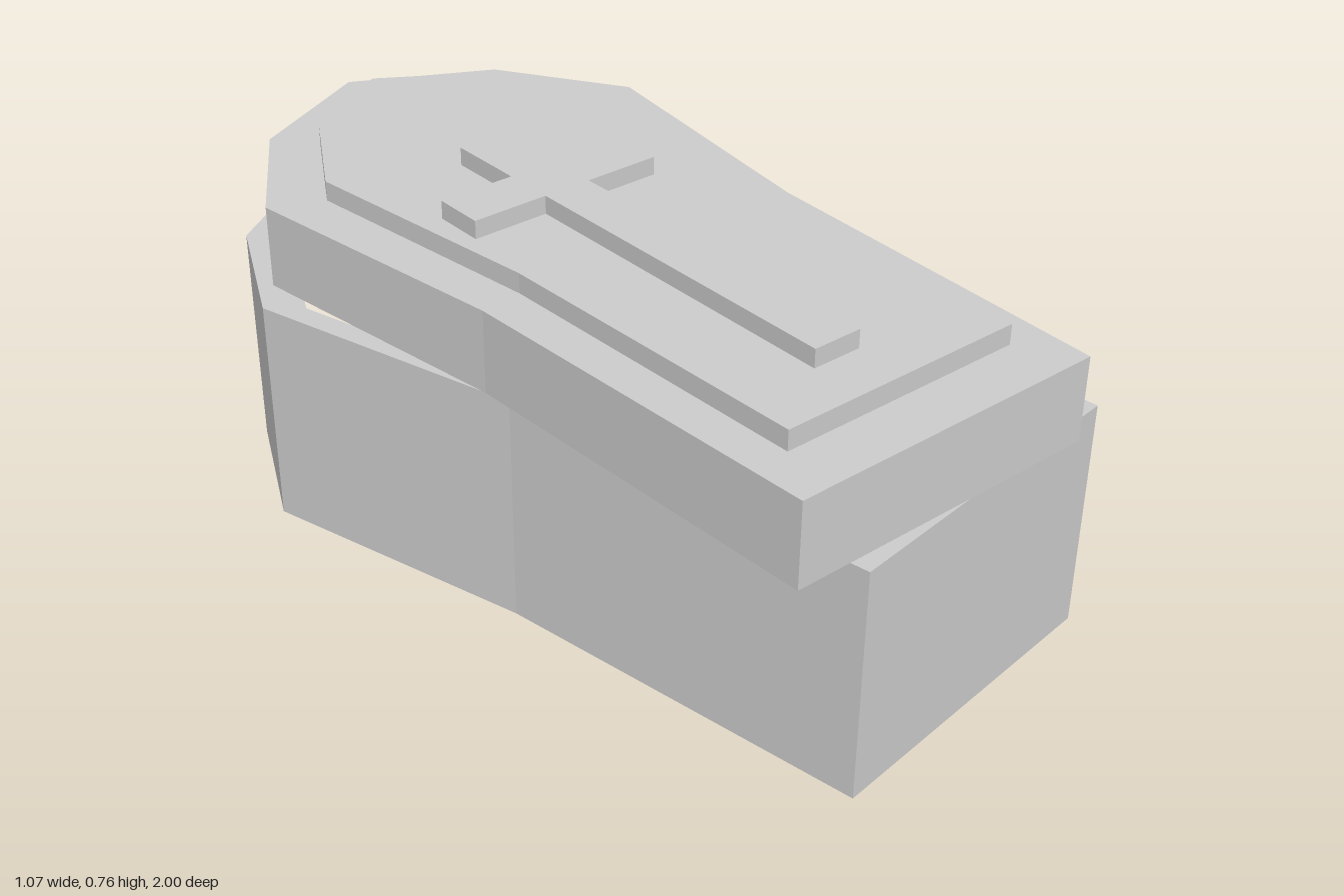
import * as THREE from 'three';

// Right half of each outline as [x, z], from head apex to foot
const BODY = [[0, -1], [0.315, -0.84], [0.5, -0.55], [0.405, 0.1], [0.37, 0.96]];
const RIM = [[0, -0.892], [0.241, -0.744], [0.381, -0.496], [0.308, 0.09], [0.287, 0.835]];
const CROSS = [[0, -0.456], [0.058, -0.456], [0.058, -0.27], [0.24, -0.27],
  [0.24, -0.15], [0.058, -0.15], [0.058, 0.664]];

// Mirror a half outline into a closed loop of points
function outline(half, scale = 1) {
  const mirrored = half.slice(1).reverse().map(([x, z]) => [-x, z]);
  return [...half, ...mirrored].map(([x, z]) => new THREE.Vector2(x * scale, -z * scale));
}

export function createModel() {
  const material = new THREE.MeshStandardMaterial({ color: 0xcccccc, flatShading: true });

  // Upright slab from y0 to y1, with an optional hole
  function slab(name, points, y0, y1, hole) {
    const shape = new THREE.Shape(points);
    if (hole) shape.holes.push(new THREE.Path(hole));
    const geometry = new THREE.ExtrudeGeometry(shape, { depth: y1 - y0, bevelEnabled: false });
    geometry.rotateX(-Math.PI / 2).translate(0, y0, 0);
    const mesh = new THREE.Mesh(geometry, material);
    mesh.name = name;
    return mesh;
  }

  const model = new THREE.Group();
  model.name = 'coffin';

  // Hollow box: floor and walls
  const box = new THREE.Group();
  box.name = 'box';
  box.add(
    slab('boxWalls', outline(BODY), 0, 0.527, outline(BODY, 0.875)),
    slab('boxFloor', outline(BODY, 0.875), 0, 0.07),
  );

  // Lid turned askew on the box, with raised border and cross
  const lid = new THREE.Group();
  lid.name = 'lid';
  lid.add(
    slab('lidPanel', outline(BODY), 0.527, 0.715),
    slab('lidBorder', outline(RIM), 0.715, 0.76, outline(RIM, 0.95)),
    slab('lidCross', outline(CROSS), 0.715, 0.757),
  );
  lid.rotation.y = THREE.MathUtils.degToRad(-7.8);

  box.position.x = lid.position.x = -0.035;
  model.add(box, lid);
  return model;
}
